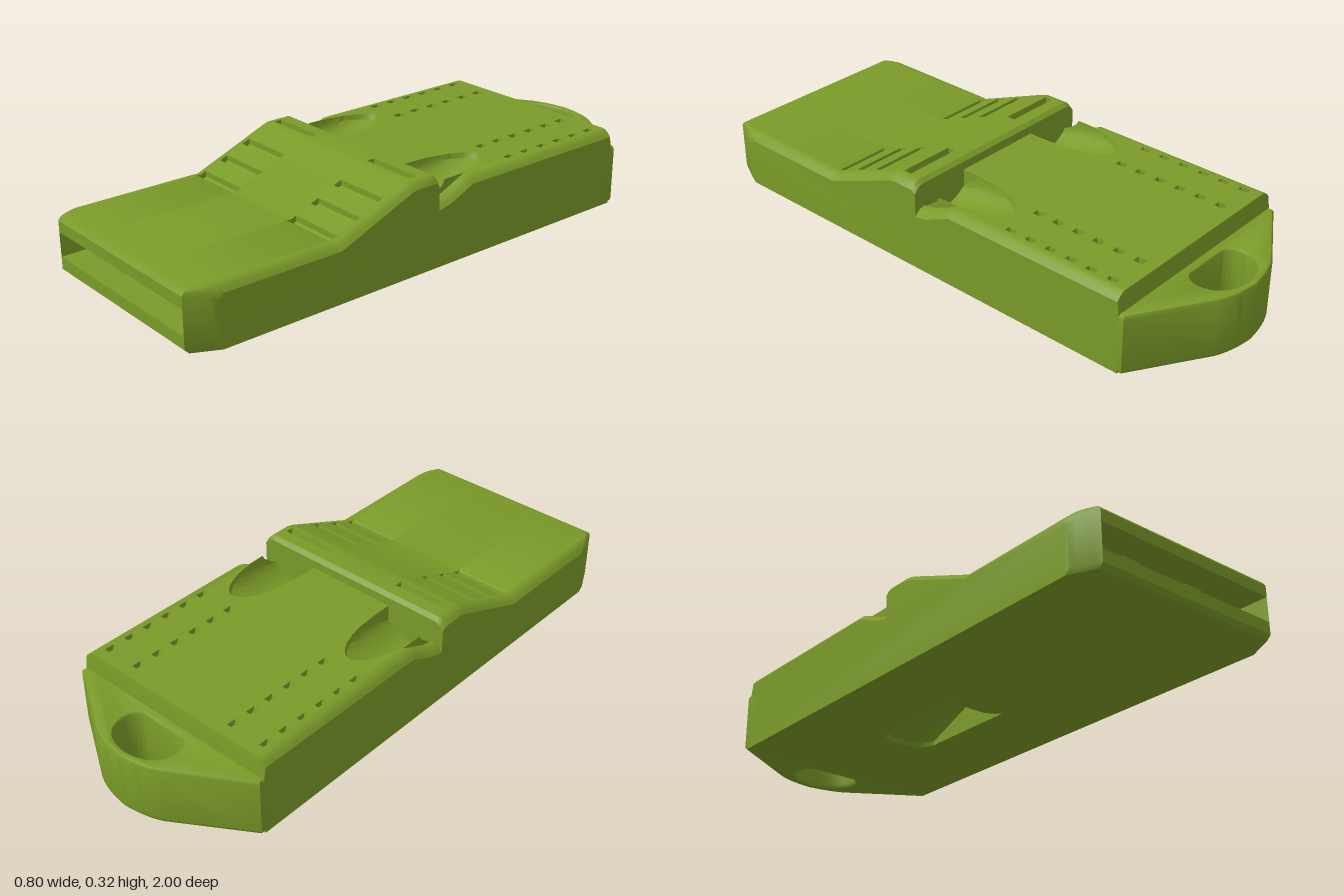
import * as THREE from 'three';
import { toCreasedNormals } from 'three/addons/utils/BufferGeometryUtils.js';

const material = new THREE.MeshStandardMaterial({ color: 0x7a9a28 });

const SLOT_LOW = 0.058, SLOT_HIGH = 0.145;

// Solid through side profiles; profile(|x|) gives [z, y] points, counter-clockwise
function loft(profile, xs) {
  const rings = xs.map((x) => profile(Math.abs(x)));
  const n = rings[0].length;
  const out = [];
  const put = (s, i) => out.push(xs[s], rings[s][i % n][1], rings[s][i % n][0]);
  for (let s = 0; s < xs.length - 1; s++) {
    for (let i = 0; i < n; i++) {
      put(s, i); put(s + 1, i); put(s, i + 1);
      put(s + 1, i); put(s + 1, i + 1); put(s, i + 1);
    }
  }
  for (const s of [0, xs.length - 1]) {
    const contour = rings[s].map(([z, y]) => new THREE.Vector2(z, y));
    for (const [a, b, c] of THREE.ShapeUtils.triangulateShape(contour, [])) {
      for (const i of s === 0 ? [a, b, c] : [a, c, b]) put(s, i);
    }
  }
  const geo = new THREE.BufferGeometry();
  geo.setAttribute('position', new THREE.Float32BufferAttribute(out, 3));
  return toCreasedNormals(geo, 0.55);
}

function add(group, name, geo) {
  const mesh = new THREE.Mesh(geo, material);
  mesh.name = name;
  group.add(mesh);
}

// The same part on both sides of the body
function addPair(group, name, profile, xs) {
  add(group, name + 'Left', loft(profile, xs));
  add(group, name + 'Right', loft(profile, xs.map((x) => -x).reverse()));
}

// Evenly spaced stations from a to b
const stations = (a, b, count) => Array.from({ length: count + 1 }, (_, i) => a + (b - a) * i / count);

// Small square cuts along the top, from front to back
function notches(centres, width, depth, height) {
  return centres.flatMap((z) => {
    const a = z + width / 2, b = z - width / 2;
    return [[a, height(a)], [a - 0.005, height(a) - depth], [b, height(b) - depth], [b, height(b)]];
  });
}

const rampHeight = (z) => Math.min(0.322, 0.2 + (0.46 - z) * 0.4);

// Upper outline from the mouth end to the tail
function topLine({ grip = false, window = [[0.05, 0.28]], dimples = false } = {}) {
  return [
    [1, 0.185], [0.99, 0.198], [0.97, 0.204], [0.475, 0.203],
    ...(grip ? notches([0.45, 0.36, 0.265], 0.03, 0.02, rampHeight) : [[0.455, 0.202]]),
    [0.17, 0.316], [0.15, 0.322],
    ...(grip ? notches([0.125], 0.03, 0.025, () => 0.322) : []),
    [0.065, 0.322], [0.05, 0.31],
    ...window,
    ...(dimples ? notches([-0.32, -0.4, -0.48, -0.56, -0.64, -0.72], 0.035, 0.02, () => 0.28) : []),
    [-0.78, 0.28], [-0.79, 0.22],
  ];
}

// Lower outline from the tail to the mouth end
const bottomLine = [[-0.79, 0], [0.985, 0], [1, 0.015]];

// Mouth slot reaching back to the given depth
const slot = (z) => [[1, SLOT_LOW], [z, SLOT_LOW], [z, SLOT_HIGH], [1, SLOT_HIGH]];

// Middle air channel roof, sloping down to a rounded window underneath
function middleRoof(x) {
  const end = -0.4 + 0.06 * (x / 0.1) ** 4;
  return [...topLine(), [-0.79, 0], [end, 0], [end + 0.01, 0.015], [-0.05, 0.13], [0, SLOT_HIGH], [1, SLOT_HIGH]];
}

function middleFloor(x) {
  const end = 0.01 + 0.04 * (x / 0.1) ** 4;
  return [[end, 0], [0.985, 0], [1, 0.015], [1, SLOT_LOW], [end, SLOT_LOW]];
}

// Side channel with a grip on the ramp and an arched, hollowed window behind it
const WINDOW_IN = 0.17, WINDOW_OUT = 0.355;
const sideChannel = (dimples) => (x) => {
  const t = THREE.MathUtils.clamp((2 * x - WINDOW_IN - WINDOW_OUT) / (WINDOW_OUT - WINDOW_IN), -1, 1);
  const end = -0.245 + 0.24 * (1 - Math.sqrt(1 - t * t));
  const window = [
    [0.05, 0.18 + 0.04 * t * t],
    [0.05 + (end - 0.05) * 0.6, 0.215 + 0.03 * t * t],
    [end, 0.262], [end - 0.01, 0.28],
  ];
  return [...topLine({ grip: true, window, dimples }), ...bottomLine, ...slot(0.12)];
};

// Outer wall with rounded shoulders and cut mouth corners
function outerWall(x) {
  const side = Math.max(0, (x - 0.365) / 0.035);
  const notch = [[0.05, 0.225], [0, 0.235], [-0.06, 0.262], [-0.1, 0.28]];
  return [...topLine({ window: notch }), ...bottomLine].map(([z, y]) => [
    z > 0.9 ? z - (x - WINDOW_OUT) * 2 : z,
    y > 0.15 ? y - 0.025 * side * side : y,
  ]);
}

// Tapered tail; shape y becomes -z
function buildTail() {
  const plan = new THREE.Shape();
  plan.moveTo(-0.39, 0.77);
  plan.lineTo(0.39, 0.77);
  plan.lineTo(0.39, 0.8);
  plan.lineTo(0.14, 0.955);
  plan.quadraticCurveTo(0.09, 0.982, 0, 0.99);
  plan.quadraticCurveTo(-0.09, 0.982, -0.14, 0.955);
  plan.lineTo(-0.39, 0.8);
  plan.closePath();

  // Key ring hole with a flat inner edge
  const hole = new THREE.Path();
  hole.moveTo(-0.09, 0.81);
  hole.quadraticCurveTo(-0.13, 0.83, -0.13, 0.88);
  hole.quadraticCurveTo(-0.12, 0.975, 0, 0.982);
  hole.quadraticCurveTo(0.12, 0.975, 0.13, 0.88);
  hole.quadraticCurveTo(0.13, 0.83, 0.09, 0.81);
  hole.closePath();
  plan.holes.push(hole);

  const geo = new THREE.ExtrudeGeometry(plan, {
    depth: 0.184, bevelThickness: 0.015, bevelSize: 0.01, bevelSegments: 3, curveSegments: 10,
  });
  geo.rotateX(-Math.PI / 2);
  geo.translate(0, 0.017, 0);
  return toCreasedNormals(geo, 0.6);
}

export function createModel() {
  const group = new THREE.Group();
  group.name = 'doubleWhistle';

  add(group, 'middleBody', loft(middleRoof, stations(-0.1, 0.1, 12)));
  add(group, 'middleChannelFloor', loft(middleFloor, stations(-0.1, 0.1, 12)));

  // Dividers between the channels, set back from the mouth
  addPair(group, 'divider', () => [...topLine(), ...bottomLine, ...slot(0.9)], [0.1, 0.15]);
  addPair(group, 'gripEdge', () => [...topLine({ grip: true }), ...bottomLine, ...slot(0.9)], [0.15, WINDOW_IN]);

  // Side channels, with two rows of dimples along the rear deck
  addPair(group, 'channelInnerEdge', sideChannel(false), stations(WINDOW_IN, 0.2, 5));
  addPair(group, 'channelInnerDimples', sideChannel(true), stations(0.2, 0.225, 3));
  addPair(group, 'channelMiddle', sideChannel(false), stations(0.225, 0.335, 10));
  addPair(group, 'channelOuterDimples', sideChannel(true), stations(0.335, WINDOW_OUT, 4));

  addPair(group, 'outerWall', outerWall, [WINDOW_OUT, 0.365, 0.377, 0.389, 0.4]);

  add(group, 'keyRingTail', buildTail());
  return group;
}
